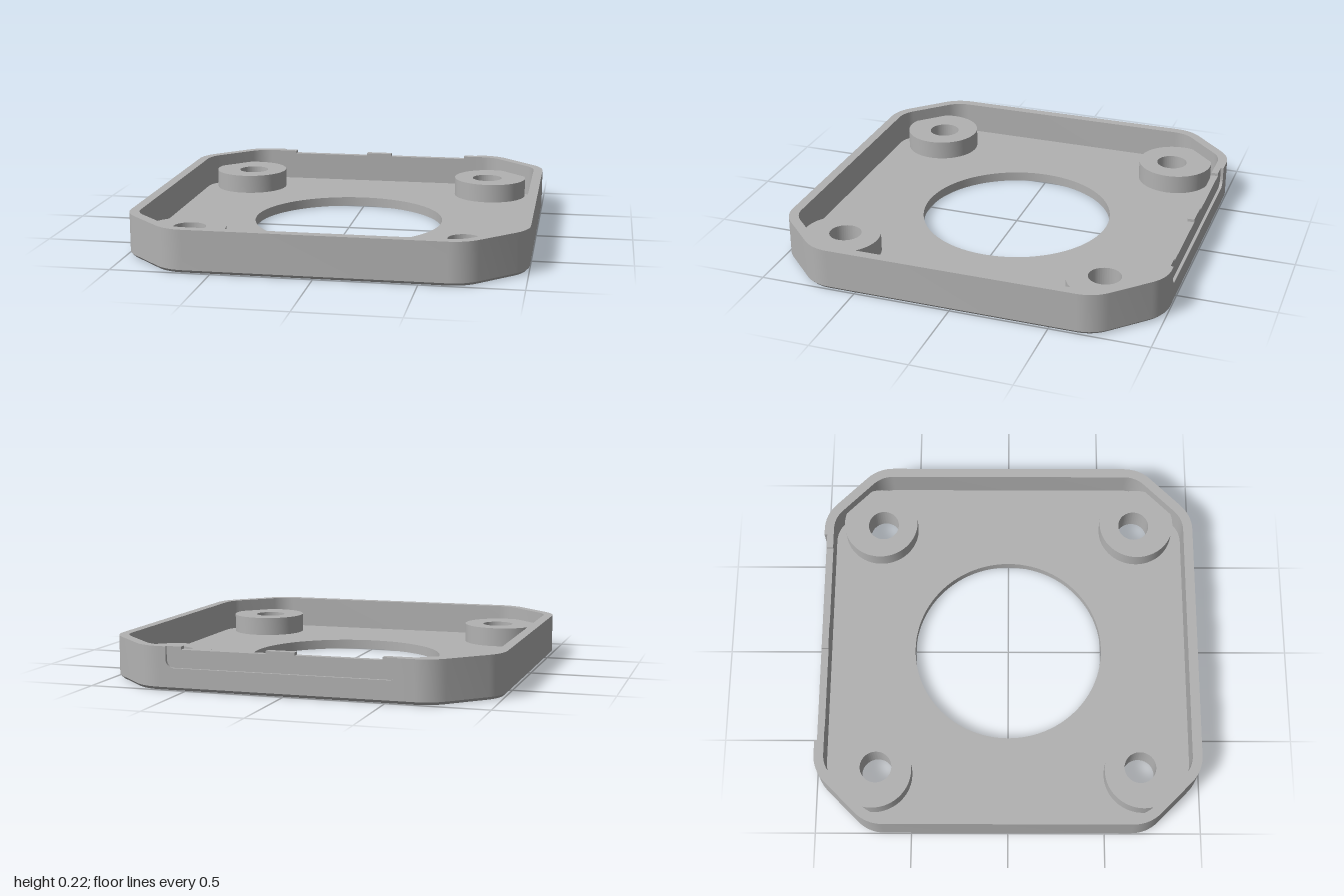
import * as THREE from 'three';
import { toCreasedNormals } from 'three/addons/utils/BufferGeometryUtils.js';

const HEIGHT = 0.215, FLOOR = 0.05, WALL = 0.05, CHAMFER = 0.015;
const BOSS_TOP = 0.15, BOSS_POS = 0.7, BOSS_R = 0.2, HOLE_POS = 0.685, HOLE_R = 0.082;
const REC_MIN = -0.56, REC_MAX = 0.6, REC_DEPTH = 0.015, REC_BOTTOM = 0.11;

// Rounded octagon, inset by d, counter-clockwise from the given corner
function outline(d, first = 0) {
  const pts = [], r = 0.2 - d;
  const cr = Math.hypot(0.8, 0.637), ca = Math.atan2(0.637, 0.8);
  for (let n = 0; n < 8; n++) {
    const k = (n + first) % 8;
    const a = Math.floor(k / 2) * Math.PI / 2 + (k % 2 ? Math.PI / 2 - ca : ca);
    for (let i = 0; i <= 8; i++) {
      const t = (k + i / 8) * Math.PI / 4;
      pts.push(new THREE.Vector2(cr * Math.cos(a) + r * Math.cos(t), cr * Math.sin(a) + r * Math.sin(t)));
    }
  }
  return pts;
}

function circle(x, y, r) {
  const p = new THREE.Path();
  p.absarc(x, y, r, 0, Math.PI * 2, true);
  return p;
}

function extrude(shape, depth) {
  return new THREE.ExtrudeGeometry(shape, { depth, bevelEnabled: false, curveSegments: 48 });
}

// Plan shape (shape y points to the back) raised from y0 to y1
function slab(shape, y0, y1) {
  return extrude(shape, y1 - y0).rotateX(-Math.PI / 2).translate(0, y0, 0);
}

export function createModel() {
  const group = new THREE.Group();
  const grey = new THREE.MeshStandardMaterial({ color: 0xb2b2b2 });
  grey.name = 'grey';
  const add = (name, geometry) => {
    const mesh = new THREE.Mesh(toCreasedNormals(geometry, 0.5), grey);
    mesh.name = name;
    group.add(mesh);
    return mesh;
  };

  // Floor with the large opening and four screw holes
  const floor = new THREE.Shape(outline(CHAMFER));
  floor.holes.push(circle(0, 0, 0.5));
  for (const sx of [-1, 1]) for (const sy of [-1, 1]) {
    floor.holes.push(circle(sx * HOLE_POS, sy * HOLE_POS, HOLE_R));
  }
  add('floor', slab(floor, 0, FLOOR));

  // Small chamfer around the bottom edge
  const low = outline(CHAMFER), high = outline(0), pos = [];
  low.forEach((p, i) => {
    const j = (i + 1) % low.length;
    const a = [p.x, 0, -p.y], b = [low[j].x, 0, -low[j].y];
    const c = [high[j].x, CHAMFER, -high[j].y], d = [high[i].x, CHAMFER, -high[i].y];
    pos.push(...a, ...b, ...c, ...a, ...c, ...d);
  });
  const chamfer = new THREE.BufferGeometry();
  chamfer.setAttribute('position', new THREE.Float32BufferAttribute(pos, 3));
  add('bottomChamfer', chamfer);

  // Rim wall, open at the back where the recessed panel sits
  const rim = new THREE.Shape([
    new THREE.Vector2(REC_MIN, 1), ...outline(0, 2), new THREE.Vector2(REC_MAX, 1),
    new THREE.Vector2(REC_MAX, 1 - WALL), ...outline(WALL, 2).reverse(), new THREE.Vector2(REC_MIN, 1 - WALL),
  ]);
  add('rimWall', slab(rim, CHAMFER, HEIGHT));

  // Thin back panel with two shallow notches in its top edge
  const notch = HEIGHT - 0.015;
  const panel = new THREE.Shape();
  panel.moveTo(REC_MIN, CHAMFER);
  panel.lineTo(REC_MAX, CHAMFER);
  panel.lineTo(REC_MAX, HEIGHT);
  for (const [right, left] of [[0.525, 0.09], [-0.055, -0.485]]) {
    panel.lineTo(right, HEIGHT);
    panel.lineTo(right, notch);
    panel.lineTo(left, notch);
    panel.lineTo(left, HEIGHT);
  }
  panel.lineTo(REC_MIN, HEIGHT);
  add('backPanel', extrude(panel, WALL - REC_DEPTH).translate(0, 0, -1 + REC_DEPTH));

  // Outer skin below the recess, with rounded lower corners
  const r = 0.04;
  const skin = new THREE.Shape();
  skin.moveTo(REC_MIN, CHAMFER);
  skin.lineTo(REC_MAX, CHAMFER);
  skin.lineTo(REC_MAX, REC_BOTTOM + r);
  skin.absarc(REC_MAX - r, REC_BOTTOM + r, r, 0, -Math.PI / 2, true);
  skin.lineTo(REC_MIN + r, REC_BOTTOM);
  skin.absarc(REC_MIN + r, REC_BOTTOM + r, r, -Math.PI / 2, -Math.PI, true);
  add('backSkin', extrude(skin, REC_DEPTH).translate(0, 0, -1));

  // Screw bosses, cut flat where they meet the corner walls
  const cut = Math.acos(0.177 / BOSS_R);
  const boss = new THREE.Shape();
  boss.absarc(BOSS_POS, BOSS_POS, BOSS_R, Math.PI / 4 + cut, Math.PI * 2.25 - cut, false);
  boss.holes.push(circle(HOLE_POS, HOLE_POS, HOLE_R));
  const bossGeometry = slab(boss, FLOOR, BOSS_TOP);
  for (let i = 0; i < 4; i++) {
    add('screwBoss', bossGeometry).rotation.y = i * Math.PI / 2;
  }
  return group;
}
